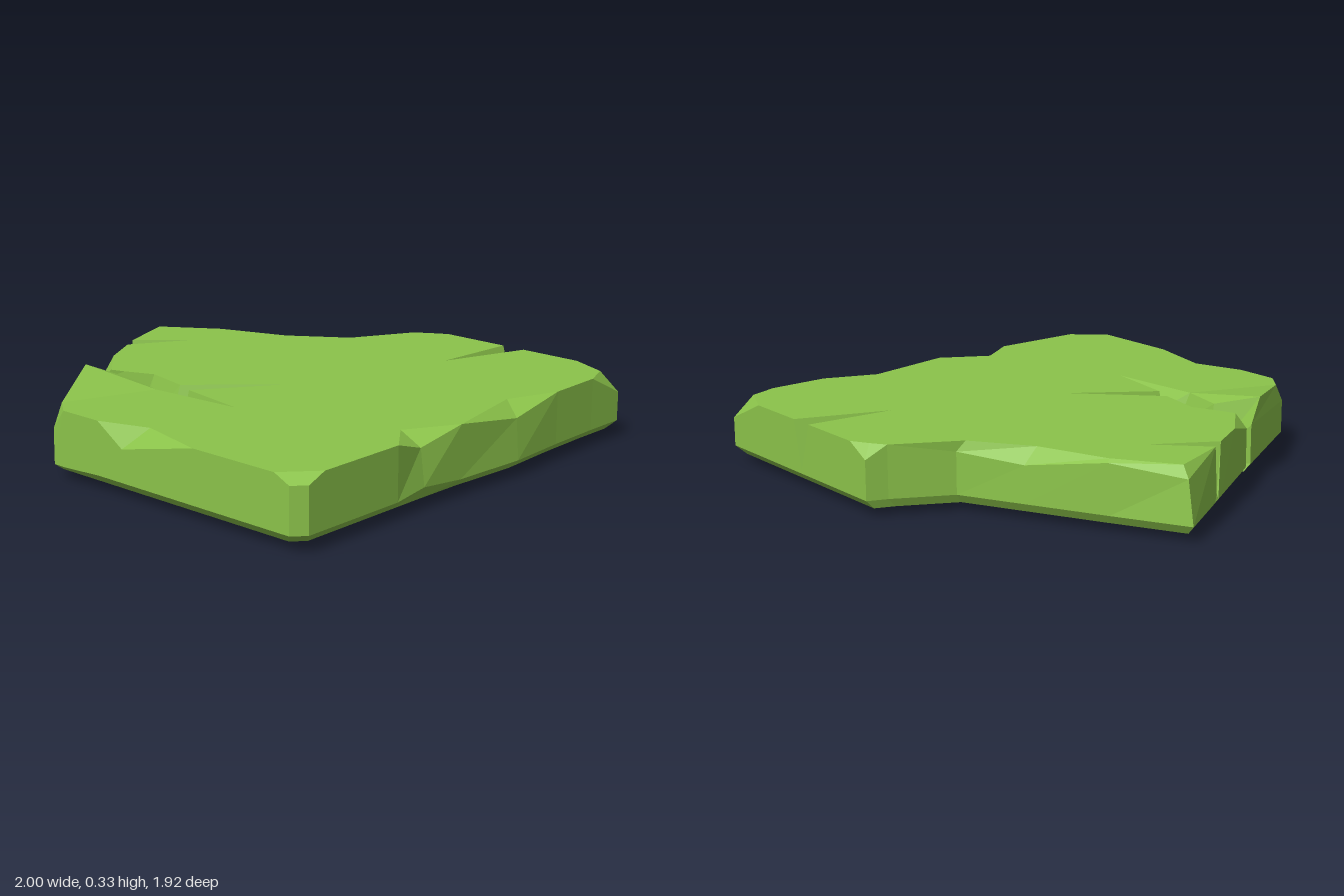
import * as THREE from 'three';

const TOP = 0.283;

// One column of the slab's side: foot, bevel, rim and top-edge points
function edge(x, z, rim = [x, TOP, z], top = [x, z], bevelY = 0.07) {
  return {
    foot: [x * 0.965, 0.035, z * 0.965],
    bevel: [x, bevelY, z],
    rim,
    top: [top[0], top[2] ?? TOP, top[1]],
  };
}

// One column inside the crack: all lower points meet in the valley
function crack(valley, x, z) {
  return { foot: valley, bevel: valley, rim: valley, top: [x, TOP, z] };
}

export function createModel() {
  const group = new THREE.Group();
  group.name = 'brokenSlab';

  // Left side, from the pointed tip to the crack, with a V notch
  const leftSide = [
    edge(-1, -0.22, [-0.965, 0.24, -0.215], [-0.92, -0.2]),
    edge(-0.84, 0.04, [-0.825, TOP, 0.05]),
    edge(-0.815, 0.08, [-0.805, 0.09, 0.08], [-0.64, -0.13]),
    edge(-0.79, 0.12, [-0.785, TOP, 0.115], [-0.785, 0.115]),
    edge(-0.69, 0.28),
    edge(-0.585, 0.45, [-0.585, 0.23, 0.45], [-0.53, 0.44]),
  ];
  leftSide[1].top = leftSide[1].rim;

  // Forked crack, in along its back wall and out along its front wall
  const mouth = [-0.45, 0.003, 0.415], inner = [-0.38, 0.04, 0.43];
  const fork = [-0.16, 0.14, 0.465], deep = [-0.09, 0.21, 0.45];
  const crackWalls = [
    crack(mouth, -0.47, 0.42),
    crack(inner, -0.35, 0.37),
    crack(fork, -0.16, 0.41),
    crack(deep, 0.14, 0.12),
    crack(deep, -0.08, 0.44),
    crack(deep, 0.22, 0.49),
    crack(fork, -0.18, 0.52),
    crack(inner, -0.37, 0.475),
  ];

  // Front side, starting with the raised lip
  const frontSide = [
    edge(-0.56, 0.5, [-0.56, 0.23, 0.5], [-0.535, 0.57, 0.33]),
    edge(-0.28, 0.96, [-0.285, 0.2, 0.955], [-0.31, 0.89], 0.06),
    edge(-0.22, 0.96, undefined, undefined, 0.06),
    edge(-0.03, 0.96),
    edge(0.1, 0.96, [0.1, 0.2, 0.96], [0.18, 0.89]),
    edge(0.47, 0.96),
    edge(0.93, 0.96, [0.93, 0.25, 0.96], [0.86, 0.96]),
  ];

  // Right side, front to back, with two chipped places
  const rightSide = [
    edge(0.975, 0.91, [0.975, 0.25, 0.91], [0.975, 0.83]),
    edge(0.975, 0.44),
    edge(0.975, 0.29, [0.955, 0.235, 0.29], [0.86, 0.29], 0.09),
    edge(0.978, 0.08),
    edge(0.998, -0.25, [0.985, 0.235, -0.25], [0.9, -0.3]),
    edge(0.982, -0.52),
    edge(0.975, -0.77),
    edge(0.975, -0.96, [0.975, 0.19, -0.96], [0.93, -0.89]),
  ];

  // Back side and slanted back-left side, with a V notch and a chipped rim
  const backSide = [
    edge(0.77, -0.96),
    edge(0.5, -0.96),
    edge(0.455, -0.96, [0.455, 0.09, -0.96], [0.37, -0.59]),
    edge(0.395, -0.96),
    edge(0.1, -0.96),
    edge(0, -0.96, [0, 0.23, -0.96], [0.03, -0.92]),
    edge(-0.03, -0.88),
    edge(-0.15, -0.65, [-0.15, 0.24, -0.65], [-0.17, -0.62]),
    edge(-0.4, -0.525, [-0.4, 0.22, -0.52], [-0.4, -0.46]),
    edge(-0.71, -0.37, [-0.7, 0.27, -0.37], [-0.69, -0.355]),
  ];

  const columns = [...leftSide, ...crackWalls, ...frontSide, ...rightSide, ...backSide];
  const positions = [];
  const same = (a, b) => a.every((v, i) => Math.abs(v - b[i]) < 1e-6);
  const tri = (a, b, c) => {
    if (!same(a, b) && !same(b, c) && !same(a, c)) positions.push(...a, ...b, ...c);
  };

  // Side walls: bevel, wall and broken rim bands; the underside stays open
  columns.forEach((a, i) => {
    const b = columns[(i + 1) % columns.length];
    [['foot', 'bevel'], ['bevel', 'rim'], ['rim', 'top']].forEach(([lo, hi]) => {
      tri(a[lo], b[lo], b[hi]);
      tri(a[lo], b[hi], a[hi]);
    });
  });

  // Raised lip beside the crack
  const k = leftSide.length + crackWalls.length;
  const tops = columns.map((c) => c.top);
  tri(tops[k - 2], tops[k - 1], tops[k]);
  tri(tops[k - 2], tops[k], tops[k + 1]);

  // Flat top inside the broken rim
  const flat = tops.filter((_, i) => i !== k && i !== k - 1);
  const outline = flat.map(([x, , z]) => new THREE.Vector2(x, -z));
  THREE.ShapeUtils.triangulateShape(outline, []).forEach(([a, b, c]) => tri(flat[a], flat[b], flat[c]));

  const geometry = new THREE.BufferGeometry();
  geometry.setAttribute('position', new THREE.Float32BufferAttribute(positions, 3));
  geometry.computeVertexNormals();
  const material = new THREE.MeshStandardMaterial({ color: 0x8bc34a, flatShading: true, side: THREE.DoubleSide });
  const slab = new THREE.Mesh(geometry, material);
  slab.name = 'slab';
  group.add(slab);
  return group;
}
